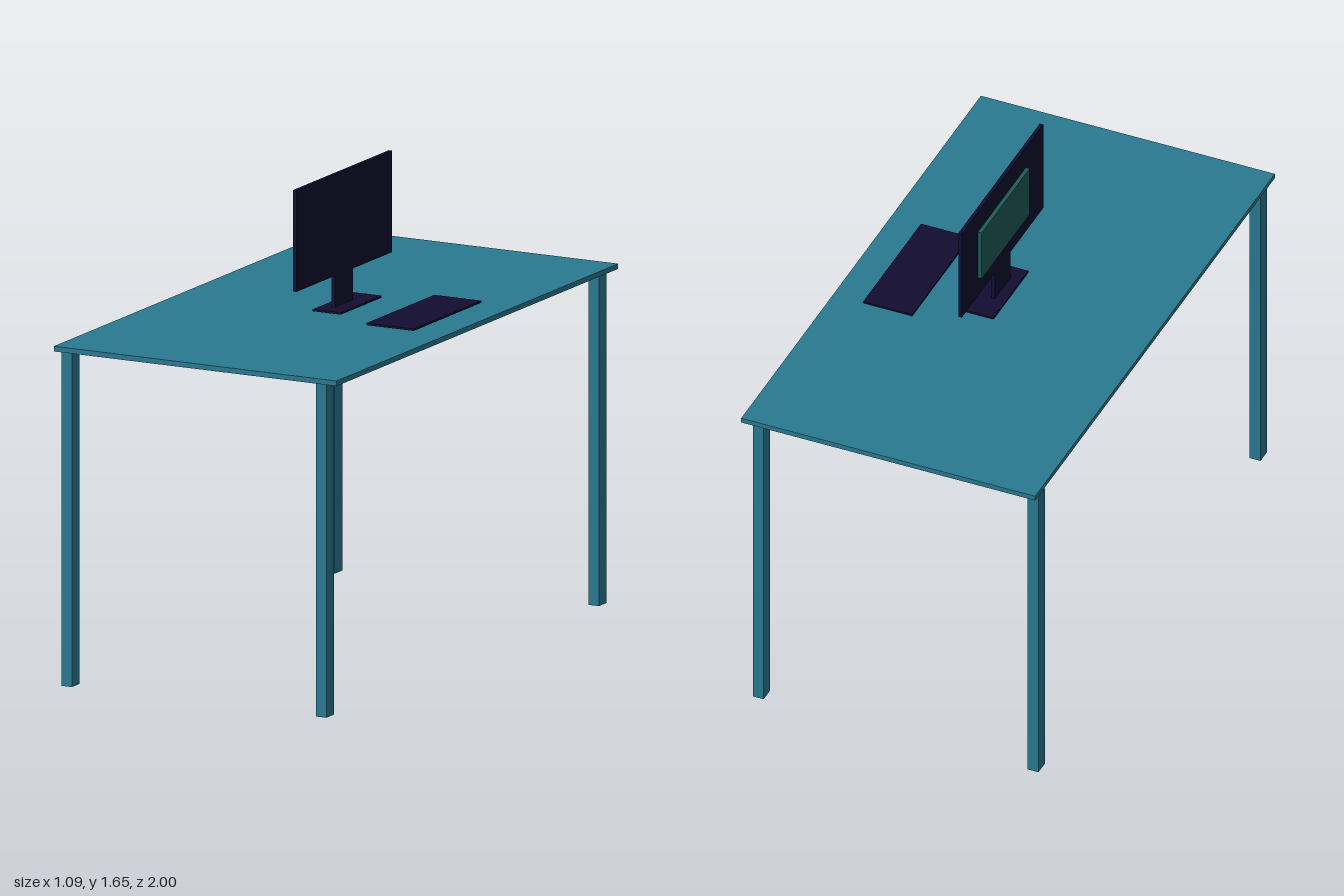
import * as THREE from 'three';

export function createModel() {
  const model = new THREE.Group();
  model.name = 'deskWithMonitor';

  const teal = new THREE.MeshStandardMaterial({ color: 0x2a7a92 });
  const dark = new THREE.MeshStandardMaterial({ color: 0x120d30 });
  const green = new THREE.MeshStandardMaterial({ color: 0x1f5c58 });

  // Box given by its extents along each axis
  function addBox(parent, name, material, [x0, x1], [y0, y1], [z0, z1]) {
    const mesh = new THREE.Mesh(new THREE.BoxGeometry(x1 - x0, y1 - y0, z1 - z0), material);
    mesh.position.set((x0 + x1) / 2, (y0 + y1) / 2, (z0 + z1) / 2);
    mesh.name = name;
    parent.add(mesh);
  }

  // Desk: top and four slightly uneven legs
  const desk = new THREE.Group();
  desk.name = 'desk';
  addBox(desk, 'tabletop', teal, [-0.545, 0.545], [1.162, 1.18], [-1, 1]);
  const legs = [
    ['frontLeftLeg', 0.478, 0.958],
    ['frontRightLeg', -0.499, 0.966],
    ['backLeftLeg', 0.491, -0.952],
    ['backRightLeg', -0.528, -0.952],
  ];
  for (const [name, x, z] of legs) {
    addBox(desk, name, teal, [x - 0.02, x + 0.02], [0, 1.163], [z - 0.027, z + 0.027]);
  }

  // Monitor: screen faces +x, with a rear housing, neck and foot
  const monitor = new THREE.Group();
  monitor.name = 'monitor';
  addBox(monitor, 'screen', dark, [0.027, 0.04], [1.302, 1.655], [-0.325, 0.355]);
  addBox(monitor, 'rearHousing', green, [0.013, 0.028], [1.378, 1.572], [-0.19, 0.21]);
  addBox(monitor, 'neck', dark, [0.027, 0.04], [1.18, 1.303], [-0.048, 0.08]);
  addBox(monitor, 'foot', dark, [-0.012, 0.096], [1.186, 1.193], [-0.148, 0.143]);

  // Keyboard
  addBox(model, 'keyboard', dark, [0.247, 0.429], [1.186, 1.193], [-0.243, 0.239]);

  model.add(desk, monitor);
  return model;
}
